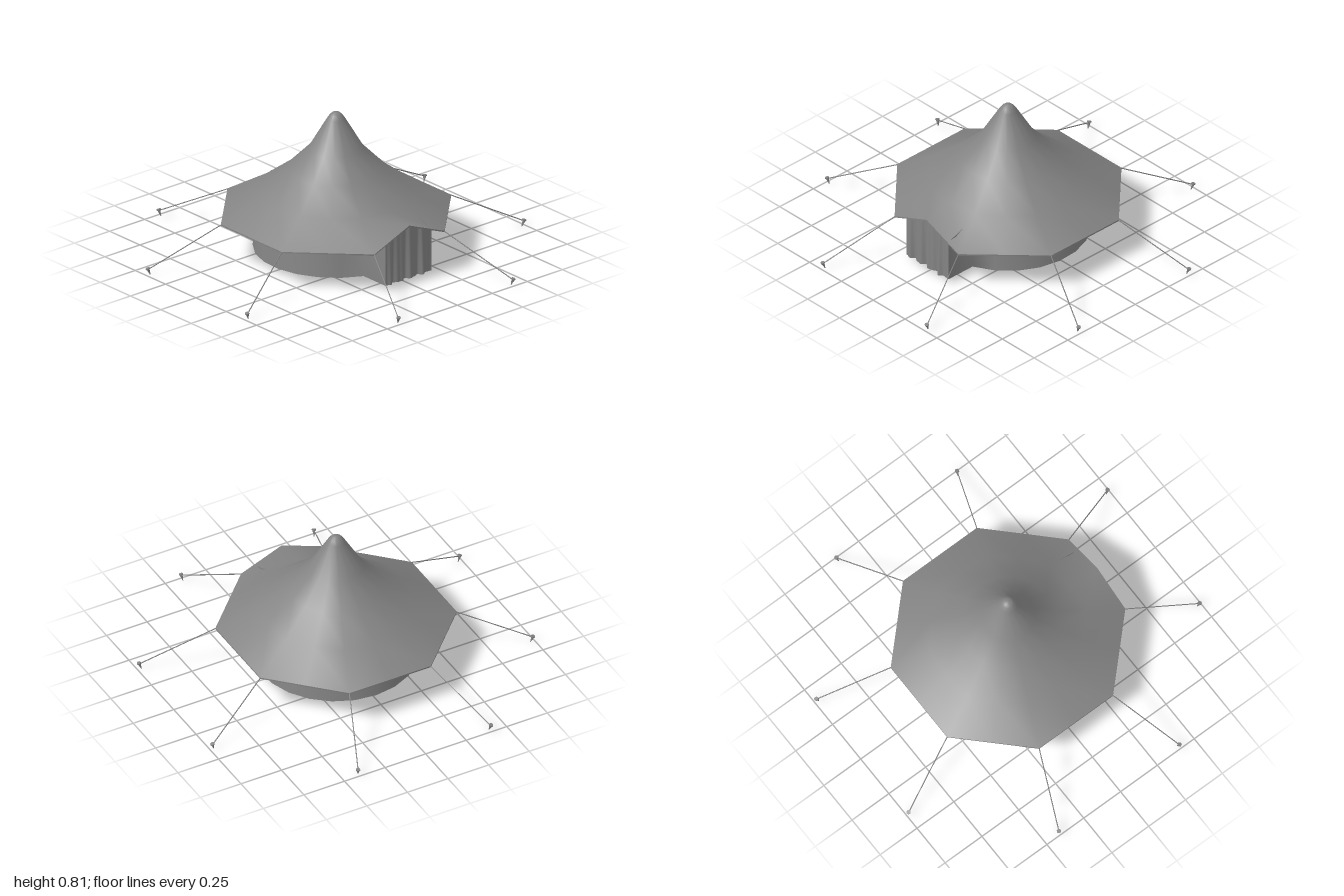
import * as THREE from 'three';

const canvas = new THREE.MeshStandardMaterial({ color: 0x848484, side: THREE.DoubleSide });

// Cloth sheet through rows of points, listed top to bottom and left to right.
function sheet(name, rows, closed = false) {
  const n = rows[0].length, index = [];
  for (let i = 0; i < rows.length - 1; i++) {
    for (let j = 0; j < (closed ? n : n - 1); j++) {
      const k = (j + 1) % n;
      const a = i * n + j, b = a + n, c = (i + 1) * n + k, d = i * n + k;
      index.push(a, b, c, a, c, d);
    }
  }
  const geo = new THREE.BufferGeometry();
  geo.setAttribute('position', new THREE.Float32BufferAttribute(rows.flat(2), 3));
  geo.setIndex(index);
  geo.computeVertexNormals();
  const mesh = new THREE.Mesh(geo, canvas);
  mesh.name = name;
  return mesh;
}

// Straight tapered rod from a to b.
function rod(name, a, b, ra, rb, sides) {
  const dir = b.clone().sub(a);
  const mesh = new THREE.Mesh(new THREE.CylinderGeometry(rb, ra, dir.length(), sides), canvas);
  mesh.position.copy(a).add(b).multiplyScalar(0.5);
  mesh.quaternion.setFromUnitVectors(new THREE.Vector3(0, 1, 0), dir.normalize());
  mesh.name = name;
  return mesh;
}

// Octagon radius at an angle, relative to its apothem.
function octagon(angle) {
  const q = Math.PI / 4;
  return 1 / Math.cos(angle - Math.round(angle / q) * q);
}

const EAVE = 0.605;
const porchTop = x => 0.24 + 0.1 * Math.max(0, 1 - Math.abs(x) / 0.25);

export function createModel() {
  const tent = new THREE.Group();
  tent.name = 'tent';

  // Roof: round at the peak, octagonal at the eave, raised over the door.
  // Each entry: radius, height, share of octagon
  const profile = [
    [0.001, 0.812, 0], [0.02, 0.81, 0], [0.034, 0.798, 0], [0.05, 0.775, 0],
    [0.15, 0.605, 0], [0.265, 0.485, 0.15], [0.42, 0.362, 0.45], [EAVE, 0.24, 1],
  ];
  const SEG = 16;
  const roofRows = profile.map(([r, y, oct]) =>
    Array.from({ length: SEG }, (_, j) => {
      const a = (j / SEG) * Math.PI * 2;
      const radius = r * (1 + oct * (octagon(a) - 1));
      const x = Math.sin(a) * radius, z = Math.cos(a) * radius;
      return [x, z > EAVE - 0.01 ? porchTop(x) : y, z];
    }));
  tent.add(sheet('roof', roofRows, true));

  // Narrow hem hanging from the eave
  const eave = roofRows[roofRows.length - 1];
  tent.add(sheet('hem', [eave, eave.map(([x, y, z]) => [x, y - 0.008, z])], true));

  // Round wall running forward into the porch sides, open at the door
  const half = 0.165;
  const wallRows = [
    [0.42, 0.355, porchTop(half) - 0.004], [0.43, 0.24, 0.2], [0.45, 0.03, 0.03],
  ].map(([r, y, porchY]) => {
    const gap = Math.asin(half / r);
    const arc = Array.from({ length: 21 }, (_, j) => {
      const a = gap + (j / 20) * (Math.PI * 2 - 2 * gap);
      return [Math.sin(a) * r, y, Math.cos(a) * r];
    });
    return [[half, porchY, 0.598], ...arc, [-half, porchY, 0.598]];
  });
  tent.add(sheet('wall', wallRows));

  // Folded door curtain
  const fold = x => {
    const u = x / half;
    return (1 - u ** 8) * (0.65 * Math.sin(u * 13) + 0.35 * Math.sin(u * 23 + 1));
  };
  tent.add(sheet('doorCurtain', [0, 0.5, 1].map(t =>
    Array.from({ length: 61 }, (_, j) => {
      const x = half * (j / 30 - 1);
      const y = THREE.MathUtils.lerp(porchTop(x) - 0.004, 0.03, t);
      return [x, y, 0.598 + fold(x) * (0.005 + 0.009 * t)];
    }))));

  // Guy ropes and stakes at the eight eave corners
  for (let k = 0; k < 8; k++) {
    const a = (k + 0.5) * Math.PI / 4;
    const at = (r, y) => new THREE.Vector3(Math.sin(a) * r, y, Math.cos(a) * r);
    const guy = new THREE.Group();
    guy.name = 'guyLine' + (k + 1);
    guy.add(rod('rope', at(0.653, 0.238), at(1.066, 0.033), 0.003, 0.003, 6));
    guy.add(rod('stake', at(1.056, 0.001), at(1.07, 0.036), 0.002, 0.009, 8));
    guy.add(rod('stakeHead', at(1.069, 0.034), at(1.071, 0.04), 0.012, 0.012, 8));
    tent.add(guy);
  }

  return tent;
}
